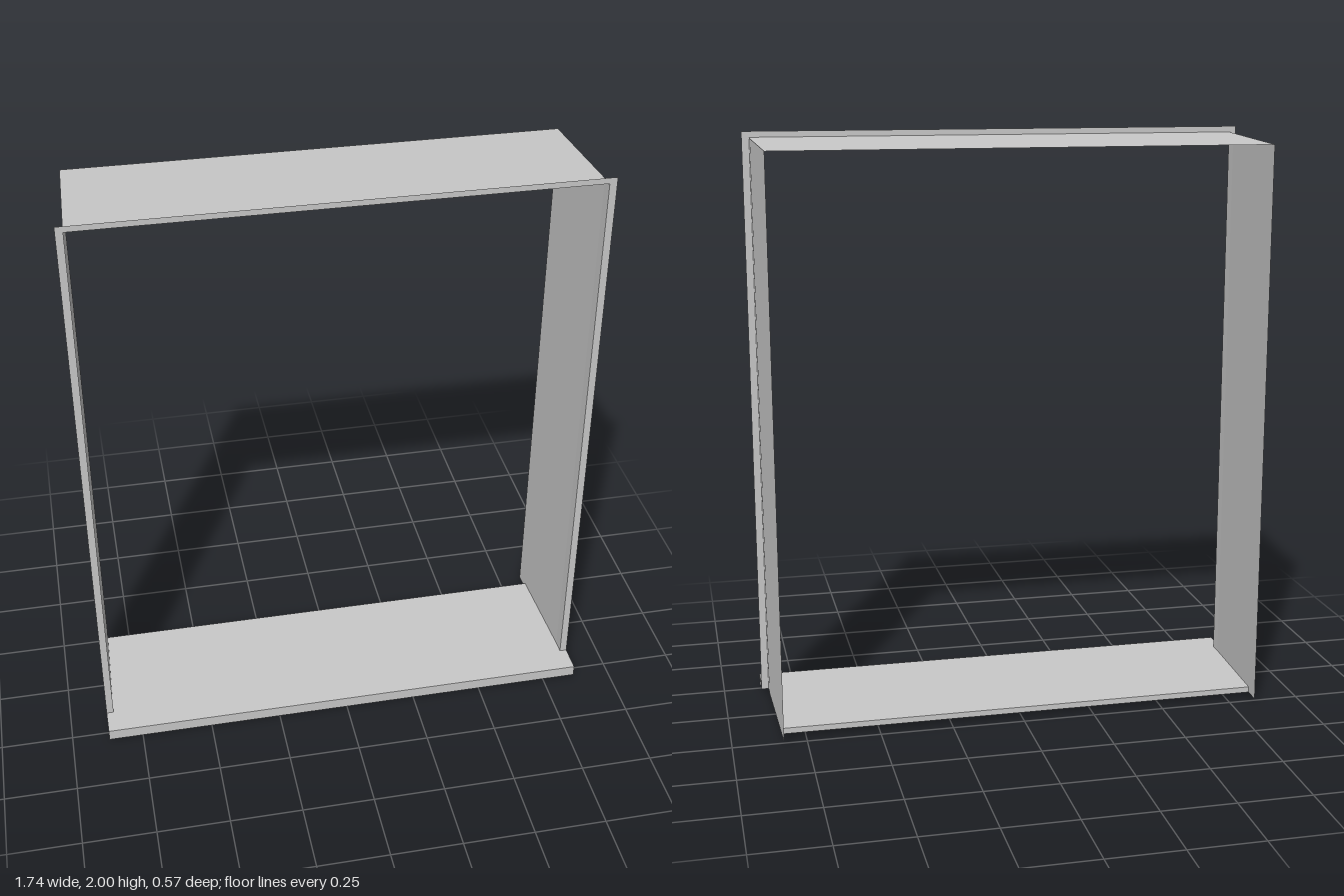
import * as THREE from 'three';

// Flat-faced sheet from a list of four-cornered panels
function sheet(name, panels, material) {
  const pos = [];
  for (const [a, b, c, d] of panels) pos.push(...a, ...b, ...c, ...a, ...c, ...d);
  const geometry = new THREE.BufferGeometry();
  geometry.setAttribute('position', new THREE.Float32BufferAttribute(pos, 3));
  geometry.computeVertexNormals();
  const mesh = new THREE.Mesh(geometry, material);
  mesh.name = name;
  return mesh;
}

export function createModel() {
  const group = new THREE.Group();
  group.name = 'windowSurround';
  const metal = new THREE.MeshStandardMaterial({ color: 0xc8c8c8, side: THREE.DoubleSide });
  metal.name = 'light grey metal';

  // Folded section: half width, top height and depth, from flange rim to back edge
  const section = [
    { w: 0.87, t: 2.0, z: 0.19 },
    { w: 0.845, t: 1.98, z: 0.19 },
    { w: 0.845, t: 1.978, z: 0.145 },
    { w: 0.83, t: 1.962, z: -0.285 },
  ];
  const base = 0.02;

  // Jambs and head share mitred corners
  const head = [], jambs = { 1: [], [-1]: [] };
  for (let i = 0; i < section.length - 1; i++) {
    const p = section[i], q = section[i + 1];
    head.push([[-p.w, p.t, p.z], [p.w, p.t, p.z], [q.w, q.t, q.z], [-q.w, q.t, q.z]]);
    for (const s of [1, -1]) {
      jambs[s].push([[s * p.w, base, p.z], [s * p.w, p.t, p.z], [s * q.w, q.t, q.z], [s * q.w, base, q.z]]);
    }
  }
  group.add(sheet('head', head, metal));
  group.add(sheet('leftJamb', jambs[1], metal));
  group.add(sheet('rightJamb', jambs[-1], metal));

  // Sill between the jambs, with a turned-down lip at the back
  const y = 0.04, back = -0.22, wb = 0.832;
  group.add(sheet('sill', [
    [[-0.845, y, 0.19], [0.845, y, 0.19], [0.845, y, 0.145], [-0.845, y, 0.145]],
    [[-0.845, y, 0.145], [0.845, y, 0.145], [wb, y, back], [-wb, y, back]],
    [[-wb, y, back], [wb, y, back], [wb, base, back], [-wb, base, back]],
  ], metal));

  // Projecting nose of the sill with its drip edge
  const profile = new THREE.Shape([
    [0.19, y], [0.285, y], [0.285, 0], [0.277, 0], [0.277, 0.032], [0.19, 0.032],
  ].map(([z, h]) => new THREE.Vector2(-z, h)));
  const nose = new THREE.Mesh(
    new THREE.ExtrudeGeometry(profile, { depth: 1.74, bevelEnabled: false }), metal);
  nose.rotation.y = Math.PI / 2;
  nose.position.x = -0.87;
  nose.name = 'sillNose';
  group.add(nose);

  return group;
}
